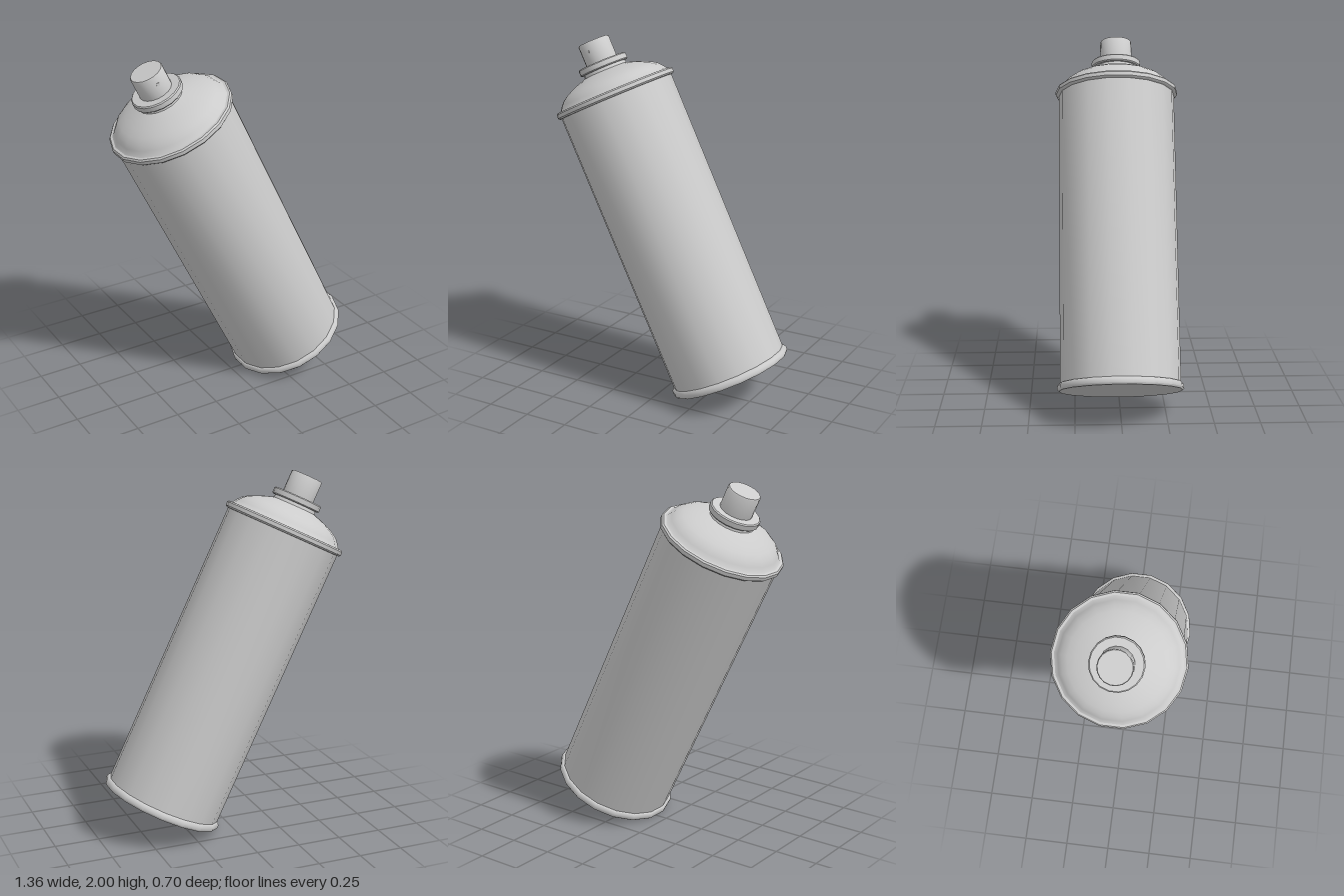
import * as THREE from 'three';
import { toCreasedNormals } from 'three/addons/utils/BufferGeometryUtils.js';

const SIDES = 18;
const TILT = THREE.MathUtils.degToRad(26);
const material = new THREE.MeshStandardMaterial({ color: 0xcccccc });

// Turned part from [radius, height] pairs listed bottom to top
function turned(name, profile) {
  const points = profile.map(([r, h]) => new THREE.Vector2(r, h));
  const geometry = toCreasedNormals(new THREE.LatheGeometry(points, SIDES), 0.7);
  const mesh = new THREE.Mesh(geometry, material);
  mesh.name = name;
  return mesh;
}

export function createModel() {
  const can = new THREE.Group();
  can.name = 'sprayCan';

  // Flat base with a rolled rim
  can.add(turned('baseRim', [
    [0, 0], [0.338, 0], [0.346, 0.01], [0.346, 0.028], [0.338, 0.04], [0.325, 0.044],
  ]));

  // Straight wall
  can.add(turned('body', [[0.33, 0.03], [0.33, 1.7]]));

  // Rolled rim between wall and dome
  can.add(turned('topRim', [
    [0.325, 1.682], [0.34, 1.684], [0.348, 1.692], [0.348, 1.712], [0.34, 1.72], [0.31, 1.722],
  ]));

  // Domed shoulder with a hollow at its foot
  can.add(turned('dome', [
    [0.33, 1.719], [0.318, 1.726], [0.305, 1.745], [0.285, 1.768], [0.255, 1.788],
    [0.215, 1.807], [0.17, 1.824], [0.125, 1.838], [0.118, 1.862],
  ]));

  // Valve collar
  can.add(turned('collar', [
    [0.1, 1.855], [0.134, 1.855], [0.14, 1.861], [0.14, 1.888], [0.134, 1.894], [0.08, 1.894],
  ]));

  // Push button
  can.add(turned('button', [[0.09, 1.885], [0.09, 2.01], [0.086, 2.016], [0, 2.016]]));

  // Tiny spray outlet on the front of the button
  const outlet = new THREE.Mesh(new THREE.CylinderGeometry(0.01, 0.01, 0.008, 10), material);
  outlet.name = 'sprayOutlet';
  outlet.rotation.x = Math.PI / 2;
  outlet.position.set(0, 1.965, 0.087);
  can.add(outlet);

  // Lean the can, then centre it and rest it on the ground
  can.rotation.z = TILT;
  const model = new THREE.Group();
  model.name = 'leaningSprayCan';
  model.add(can);
  model.updateMatrixWorld(true);
  const box = new THREE.Box3().setFromObject(model, true);
  can.position.set(-(box.min.x + box.max.x) / 2, -box.min.y, 0);
  return model;
}
